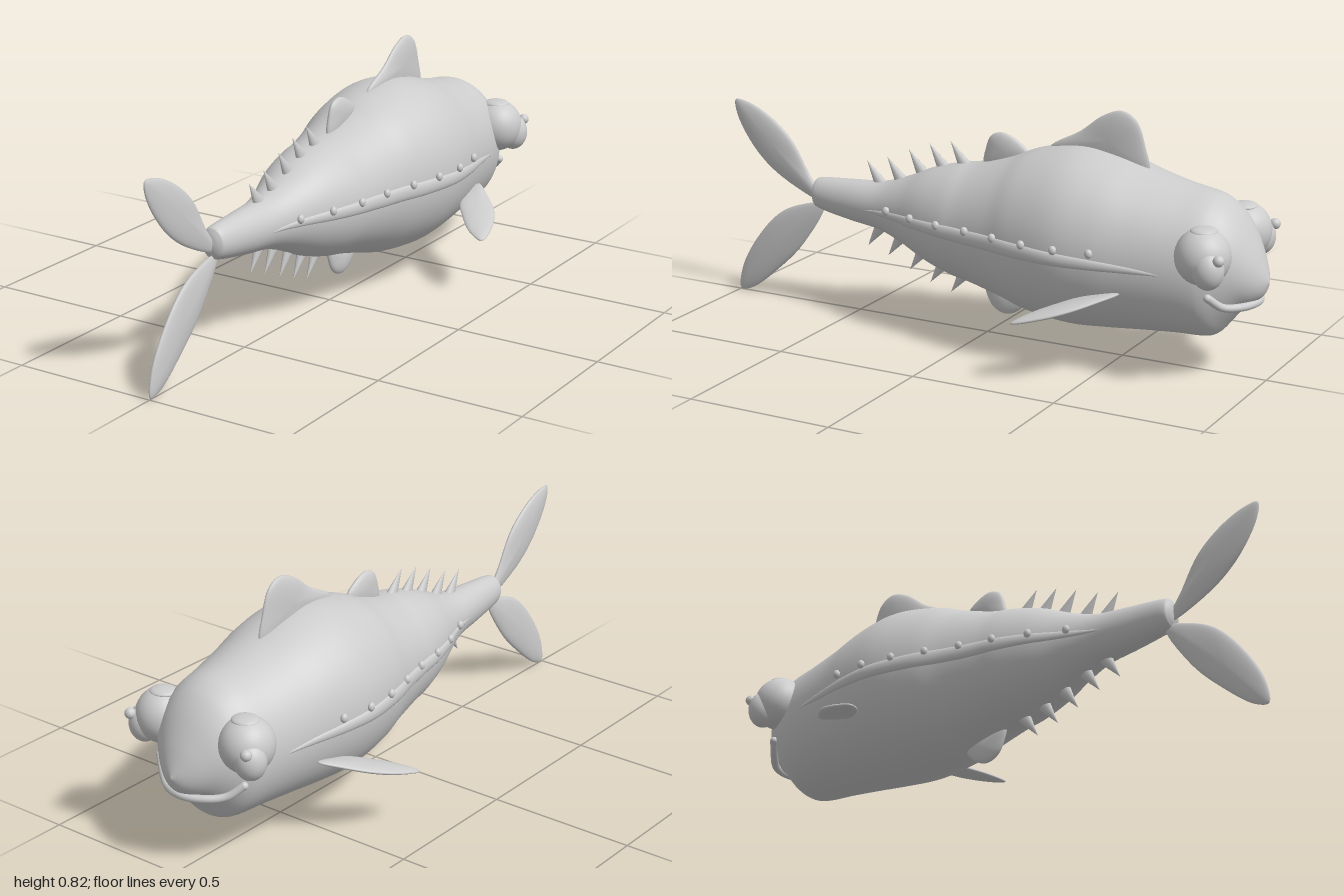
import * as THREE from 'three';
import { mergeVertices } from 'three/addons/utils/BufferGeometryUtils.js';

const grey = new THREE.MeshStandardMaterial({ color: 0xcccccc });
grey.name = 'plain grey';

// Body stations, tail to snout: z, top, bottom, half width
const STATIONS = [
  [0.68, 0.401, 0.399, 0.001], [0.67, 0.44, 0.36, 0.032], [0.645, 0.455, 0.343, 0.046],
  [0.52, 0.464, 0.32, 0.062], [0.4, 0.473, 0.303, 0.08], [0.3, 0.505, 0.268, 0.112],
  [0.2, 0.548, 0.222, 0.152], [0.1, 0.575, 0.19, 0.181], [0.02, 0.588, 0.174, 0.195],
  [-0.1, 0.625, 0.143, 0.222], [-0.2, 0.663, 0.115, 0.252], [-0.35, 0.69, 0.098, 0.276],
  [-0.48, 0.672, 0.105, 0.266], [-0.6, 0.636, 0.115, 0.242], [-0.72, 0.607, 0.123, 0.218],
  [-0.8, 0.594, 0.125, 0.2], [-0.84, 0.58, 0.137, 0.185], [-0.88, 0.552, 0.183, 0.16],
  [-0.92, 0.503, 0.23, 0.126], [-0.96, 0.43, 0.258, 0.08], [-0.985, 0.37, 0.285, 0.04],
  [-1, 0.327, 0.323, 0.001],
];

function bodyRows(steps) {
  const spline = (f) => new THREE.CatmullRomCurve3(STATIONS.map(f), false, 'catmullrom', 0.5);
  const side = spline((s) => new THREE.Vector3(s[1], s[2], s[0]));
  const plan = spline((s) => new THREE.Vector3(s[3], 0, s[0]));
  return Array.from({ length: steps + 1 }, (_, i) => {
    const p = side.getPoint(i / steps);
    return {
      z: p.z, cx: 0, cy: (p.x + p.y) / 2,
      rx: Math.max(0.001, plan.getPoint(i / steps).x), ry: Math.max(0.001, (p.x - p.y) / 2),
    };
  });
}

// Elliptical rings joined along decreasing z
function loft(rows, sides) {
  const pos = [], index = [];
  rows.forEach((r, i) => {
    for (let j = 0; j < sides; j++) {
      const a = (j / sides) * Math.PI * 2;
      pos.push(r.cx + r.rx * Math.cos(a), r.cy + r.ry * Math.sin(a), r.z);
      if (i === rows.length - 1) continue;
      const k = (j + 1) % sides;
      const A = i * sides + j, B = i * sides + k, C = A + sides, D = B + sides;
      index.push(A, C, B, B, C, D);
    }
  });
  const g = new THREE.BufferGeometry();
  g.setAttribute('position', new THREE.Float32BufferAttribute(pos, 3));
  g.setIndex(index);
  g.computeVertexNormals();
  return g;
}

// Fin with a lens-shaped section: a sphere stretched onto a smooth outline
function finGeometry(outline, half, place) {
  const pts = outline.map(([u, v]) => new THREE.Vector3(u, v, 0));
  if (THREE.ShapeUtils.isClockWise(pts)) pts.reverse();
  const curve = new THREE.CatmullRomCurve3(pts, true);
  const mid = pts.reduce((s, p) => s.add(p), new THREE.Vector3()).divideScalar(pts.length);
  const g = new THREE.SphereGeometry(1, 48, 14);
  const p = g.attributes.position, uv = g.attributes.uv;
  for (let i = 0; i < p.count; i++) {
    const w = p.getY(i), s = Math.sqrt(Math.max(0, 1 - w * w));
    const e = curve.getPoint(((uv.getX(i) % 1) + 1) % 1).sub(mid).multiplyScalar(s).add(mid);
    p.setXYZ(i, ...place(e.x, e.y, w * half));
  }
  g.deleteAttribute('uv');
  g.deleteAttribute('normal');
  const merged = mergeVertices(g, 1e-5);
  merged.computeVertexNormals();
  return merged;
}

export function createModel() {
  const model = new THREE.Group();
  const add = (name, geometry, parent = model) => {
    const m = new THREE.Mesh(geometry, grey);
    m.name = name;
    parent.add(m);
    return m;
  };
  const ball = (name, parent, at, scale) => {
    const m = add(name, new THREE.SphereGeometry(1, 32, 20), parent);
    m.position.set(...at);
    m.scale.set(...scale);
    return m;
  };

  // Body
  const rows = bodyRows(126);
  add('body', loft(rows, 64));
  const at = (z) => {
    const i = Math.max(1, rows.findIndex((r) => r.z <= z));
    const a = rows[i - 1], b = rows[i], t = (a.z - z) / (a.z - b.z);
    const mix = (k) => a[k] + (b[k] - a[k]) * t;
    return { cy: mix('cy'), rx: mix('rx'), ry: mix('ry') };
  };

  // Upright fins on the centre line, outlines as z, y
  const upright = (name, outline, half) =>
    add(name, finGeometry(outline, half, (z, y, w) => [-w, y, z]));
  upright('dorsalFin', [[-0.23, 0.665], [-0.34, 0.735], [-0.42, 0.795], [-0.485, 0.816],
    [-0.535, 0.79], [-0.567, 0.71], [-0.58, 0.62], [-0.4, 0.6]], 0.019);
  upright('rearDorsalFin', [[0.01, 0.57], [0.005, 0.64], [-0.015, 0.682], [-0.055, 0.696],
    [-0.11, 0.676], [-0.152, 0.635], [-0.12, 0.57]], 0.019);
  upright('analFin', [[0.01, 0.19], [0.002, 0.135], [-0.025, 0.092], [-0.07, 0.075],
    [-0.12, 0.095], [-0.152, 0.14], [-0.12, 0.19]], 0.019);
  upright('upperTailLobe', [[0.645, 0.37], [0.7, 0.46], [0.77, 0.575], [0.86, 0.65], [0.95, 0.69],
    [0.997, 0.692], [0.992, 0.64], [0.915, 0.52], [0.81, 0.435]], 0.017);
  upright('lowerTailLobe', [[0.64, 0.36], [0.74, 0.345], [0.83, 0.3], [0.93, 0.19], [0.99, 0.08],
    [0.998, 0.003], [0.95, 0.012], [0.84, 0.095], [0.73, 0.205]], 0.017);

  // Swept spikes above and below the tail stalk
  [0.085, 0.165, 0.245, 0.33, 0.41].forEach((z, i) => {
    for (const s of [1, -1]) {
      const b = at(z);
      const base = new THREE.Vector3(0, b.cy + s * (b.ry - 0.012), z);
      const tip = new THREE.Vector3(0, b.cy + s * (b.ry + 0.068), z + 0.055);
      const dir = tip.clone().sub(base);
      const g = new THREE.ConeGeometry(0.025, dir.length(), 10);
      g.scale(0.65, 1, 1);
      const spike = add(`${s > 0 ? 'upper' : 'lower'}Spike${i + 1}`, g);
      spike.position.copy(base).add(tip).multiplyScalar(0.5);
      spike.quaternion.setFromUnitVectors(new THREE.Vector3(0, 1, 0), dir.normalize());
    }
  });

  // Paired parts, built for +x and mirrored
  const ridgeRows = Array.from({ length: 61 }, (_, i) => {
    const t = i / 60, z = 0.45 - 1.18 * t, w = Math.sin(Math.PI * t);
    const low = 0.38 - 0.02 * Math.min(1, t * 2.5);
    const h = 0.0255 * Math.pow(w, 0.7) + 0.0005;
    return { z, cx: at(z).rx - 0.003, cy: low + h, rx: 0.001 + 0.011 * Math.sqrt(Math.max(0, w)), ry: h };
  });
  const pectoral = [[0.235, -0.595], [0.3, -0.545], [0.365, -0.475], [0.405, -0.39], [0.414, -0.302],
    [0.355, -0.325], [0.285, -0.395], [0.235, -0.47]];
  for (const [side, sx] of [['left', 1], ['right', -1]]) {
    const half = new THREE.Group();
    half.name = `${side}Side`;
    half.scale.x = sx;
    model.add(half);

    // Pectoral fin, drooping outward and back
    add('pectoralFin', finGeometry(pectoral, 0.014, (x, z, w) =>
      [x, 0.174 - 0.115 * x - 0.243 * z - w, z]), half);

    // Raised side line with beads
    add('sideRidge', loft(ridgeRows, 16), half);
    for (let i = 0; i < 8; i++) {
      const z = 0.33 - i * 0.1185;
      ball('sideBead', half, [at(z).rx + 0.004, 0.402 + 0.014 * (i / 7), z], [0.011, 0.015, 0.013]);
    }

    // Eye with lid cap, iris and pupil
    ball('eyeball', half, [0.17, 0.432, -0.843], [0.088, 0.091, 0.089]);
    ball('eyeCap', half, [0.166, 0.512, -0.843], [0.045, 0.014, 0.042]);
    ball('iris', half, [0.215, 0.405, -0.88], [0.051, 0.063, 0.051]);
    ball('pupil', half, [0.235, 0.445, -0.922], [0.018, 0.018, 0.018]);
  }

  // Curved lip under the snout
  const lip = [[0.172, 0.3, -0.863], [0.13, 0.263, -0.897], [0.07, 0.255, -0.942], [0, 0.257, -0.965]];
  const path = [...lip, ...lip.slice(0, 3).reverse().map(([x, y, z]) => [-x, y, z])];
  const curve = new THREE.CatmullRomCurve3(path.map((p) => new THREE.Vector3(...p)));
  add('lip', new THREE.TubeGeometry(curve, 48, 0.013, 12));
  for (const s of [1, -1]) ball('lipCorner', model, [s * 0.172, 0.3, -0.863], [0.013, 0.013, 0.013]);

  return model;
}
